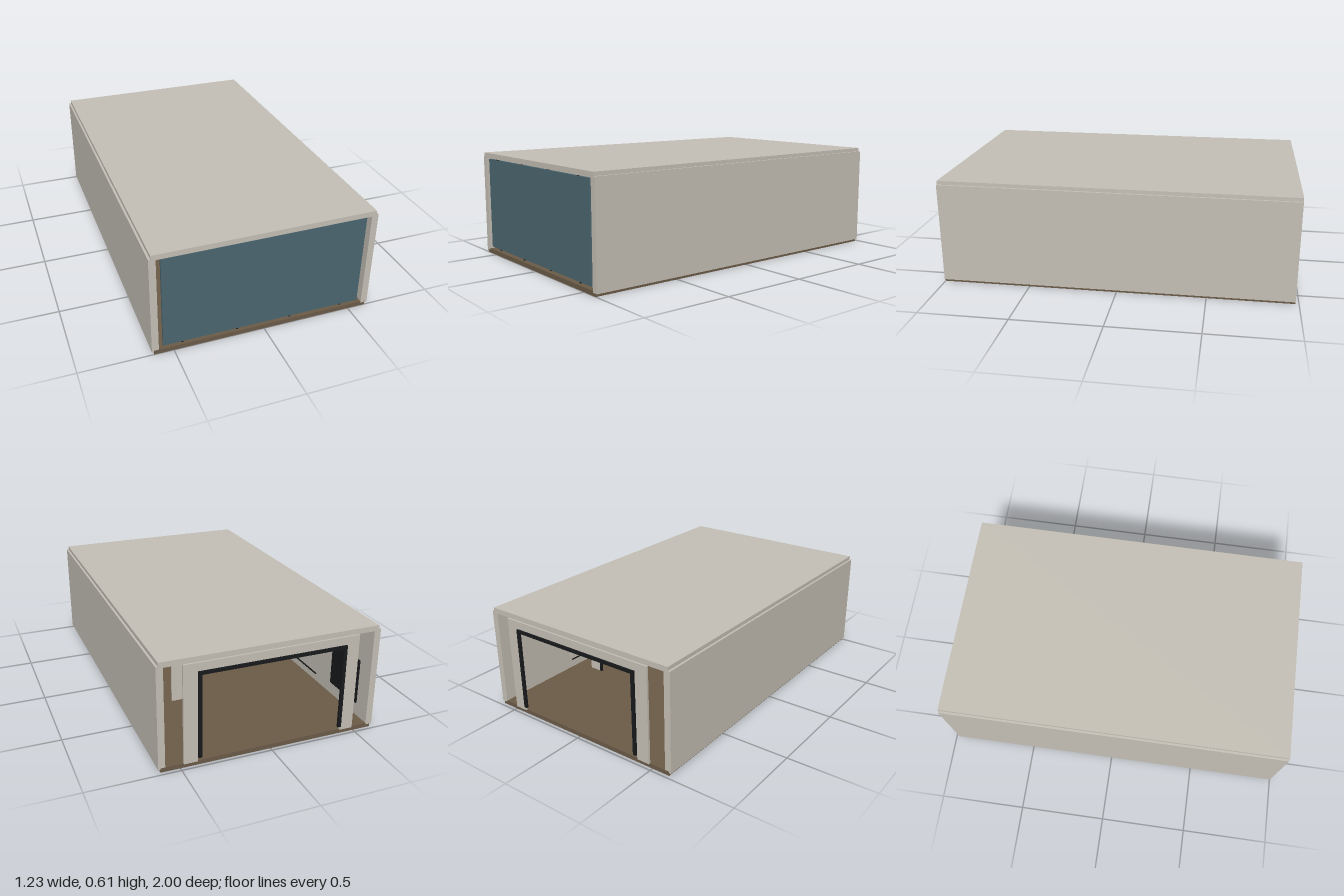
import * as THREE from 'three';

export function createModel() {
  const model = new THREE.Group();
  const mat = (name, color) => {
    const m = new THREE.MeshStandardMaterial({ color });
    m.name = name;
    return m;
  };
  const shell = mat('warm grey panel', 0xc4bfb5);
  const wood = mat('brown floor', 0x6b5b48);
  const glass = mat('blue grey glazing', 0x4c6670);
  const black = mat('black trim', 0x17191b);

  // Box given by its limits on each axis
  const box = (name, material, x0, x1, y0, y1, z0, z1) => {
    const mesh = new THREE.Mesh(new THREE.BoxGeometry(x1 - x0, y1 - y0, z1 - z0), material);
    mesh.position.set((x0 + x1) / 2, (y0 + y1) / 2, (z0 + z1) / 2);
    mesh.name = name;
    model.add(mesh);
  };
  // The same box on both sides of x = 0
  const pair = (name, material, x0, x1, ...rest) => {
    box(name + 'Left', material, x0, x1, ...rest);
    box(name + 'Right', material, -x1, -x0, ...rest);
  };

  // Shell: floor in two halves, ceiling and side walls
  box('floorFront', wood, -0.605, 0.605, 0, 0.025, 0.01, 1);
  box('floorBack', wood, -0.605, 0.605, 0, 0.025, -0.98, 0.009);
  box('ceiling', shell, -0.605, 0.605, 0.575, 0.605, -0.98, 1);
  pair('wall', shell, 0.58, 0.617, 0.016, 0.584, -0.98, 1);

  // Front glazing and its small clips
  box('frontGlazing', glass, -0.555, 0.555, 0.04, 0.57, 0.98, 0.995);
  for (const x of [-0.45, -0.15, 0.15, 0.45]) {
    box('lowerClip', black, x - 0.006, x + 0.006, 0.033, 0.041, 0.982, 0.993);
    box('upperClip', black, x - 0.006, x + 0.006, 0.569, 0.576, 0.982, 0.993);
  }

  // Back doorway: pale surround with a black frame
  pair('doorJamb', shell, 0.41, 0.485, 0.025, 0.575, -0.99, -0.978);
  box('doorLintel', shell, -0.41, 0.41, 0.515, 0.575, -0.99, -0.978);
  pair('doorTrim', black, 0.39, 0.41, 0.05, 0.53, -1, -0.988);
  box('doorTrimTop', black, -0.39, 0.39, 0.512, 0.53, -1, -0.988);

  // Wall panels inside
  box('wallScreen', black, -0.58, -0.571, 0.1, 0.36, -0.88, -0.61);
  box('wallBoard', shell, 0.569, 0.58, 0.1, 0.36, -0.455, -0.2);
  pair('wallRail', black, 0.562, 0.57, 0.081, 0.086, -0.455, -0.2);

  // Hanging header and post inside
  box('header', shell, -0.36, 0.36, 0.425, 0.49, -0.485, -0.475);
  box('headerTrim', black, -0.33, 0.36, 0.415, 0.425, -0.486, -0.474);
  box('hangingPost', shell, 0.3, 0.37, 0.1, 0.425, -0.485, -0.475);
  box('hangingPostTrim', black, 0.286, 0.3, 0.1, 0.425, -0.486, -0.474);

  return model;
}
